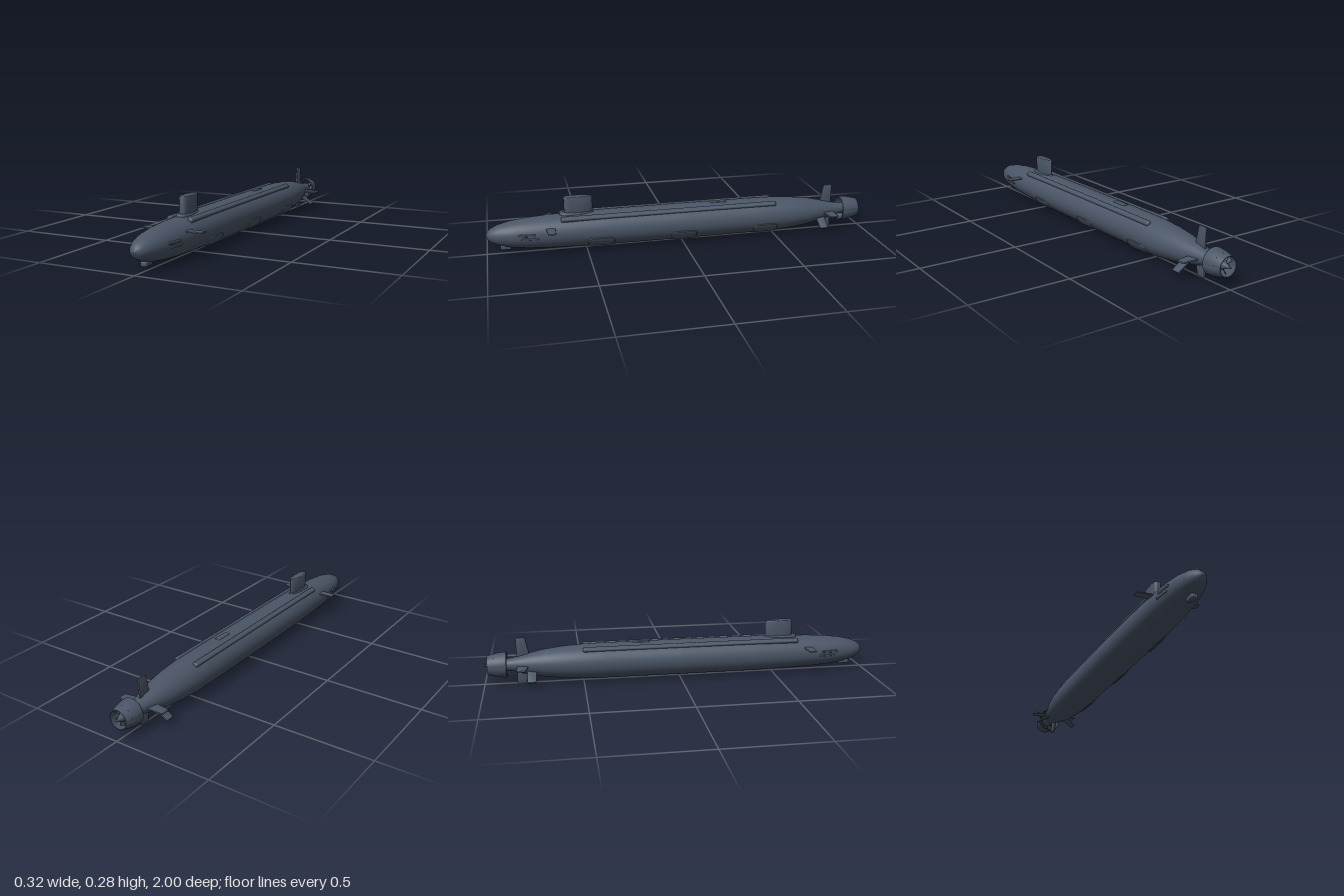
import * as THREE from 'three';
import { toCreasedNormals } from 'three/addons/utils/BufferGeometryUtils.js';
import { RoundedBoxGeometry } from 'three/addons/geometries/RoundedBoxGeometry.js';

const AXIS = 0.1; // height of the hull's centre line
const SQUASH = 0.93; // hull height relative to width

// Hull radius along the length, tail to nose: [z, r]
const HULL = [
  [-0.94, 0.026], [-0.9, 0.029], [-0.85, 0.038], [-0.8, 0.052], [-0.7, 0.075], [-0.6, 0.088],
  [-0.5, 0.095], [-0.4, 0.097], [0, 0.098], [0.4, 0.097], [0.55, 0.094], [0.7, 0.089], [0.8, 0.082],
  [0.88, 0.071], [0.94, 0.055], [0.975, 0.038], [0.992, 0.021], [1, 0],
];

function hullRadius(z) {
  for (let i = 1; i < HULL.length; i++) {
    const [z0, r0] = HULL[i - 1], [z1, r1] = HULL[i];
    if (z <= z1) return r0 + ((r1 - r0) * (z - z0)) / (z1 - z0);
  }
  return 0;
}

// Lathe about the z axis from [z, r] pairs
function latheZ(pairs, segments = 48) {
  const pts = pairs.map(([z, r]) => new THREE.Vector2(r, z));
  return new THREE.LatheGeometry(pts, segments).rotateX(Math.PI / 2);
}

// Tapered fin reaching out along +x, outline given as [span, z] pairs, turned about z
function finGeometry(outline, thickness, angle) {
  const shape = new THREE.Shape(outline.map(([s, z]) => new THREE.Vector2(s, z)));
  const b = thickness * 0.35;
  const geo = new THREE.ExtrudeGeometry(shape, {
    depth: thickness - 2 * b, bevelThickness: b, bevelSize: 0.004, bevelOffset: -0.004, bevelSegments: 2,
  });
  geo.translate(0, 0, b - thickness / 2);
  return toCreasedNormals(geo.rotateX(Math.PI / 2), 0.7).rotateZ(angle);
}

// Raised rounded panel that follows the hull's curve
function panelGeometry(zMid, halfLength, angle, halfAngle, height) {
  const geo = new THREE.PlaneGeometry(2, 2, 20, 20);
  const p = geo.attributes.position;
  for (let i = 0; i < p.count; i++) {
    let u = p.getX(i), v = p.getY(i);
    const m = Math.max(Math.abs(u), Math.abs(v));
    if (m > 0) {
      const k = m / Math.pow(Math.abs(u) ** 5 + Math.abs(v) ** 5, 0.2);
      u *= k;
      v *= k;
    }
    const z = zMid - u * halfLength;
    const a = angle + v * halfAngle;
    const r = hullRadius(z) + (m > 0.97 ? -0.004 : m > 0.87 ? height * 0.9 : height);
    p.setXYZ(i, Math.cos(a) * r, AXIS + Math.sin(a) * r * SQUASH, z);
  }
  geo.computeVertexNormals();
  return toCreasedNormals(geo, 0.6);
}

// Teardrop plan of the sail, rounded in front, extruded upward
function sailGeometry(front, back, halfWidth, y0, y1, bevel) {
  const s = new THREE.Shape();
  const len = front - back;
  s.moveTo(0, -front);
  s.bezierCurveTo(halfWidth * 1.1, -front, halfWidth, -front + len * 0.2, halfWidth, -front + len * 0.4);
  s.bezierCurveTo(halfWidth, -front + len * 0.7, halfWidth * 0.5, -back, 0, -back);
  s.bezierCurveTo(-halfWidth * 0.5, -back, -halfWidth, -front + len * 0.7, -halfWidth, -front + len * 0.4);
  s.bezierCurveTo(-halfWidth, -front + len * 0.2, -halfWidth * 1.1, -front, 0, -front);
  const geo = new THREE.ExtrudeGeometry(s, {
    depth: y1 - y0 - 2 * bevel, bevelThickness: bevel, bevelSize: bevel, bevelOffset: -bevel,
    bevelSegments: 3, curveSegments: 14,
  });
  geo.translate(0, 0, y0 + bevel).rotateX(-Math.PI / 2);
  return toCreasedNormals(geo, 0.7);
}

export function createModel() {
  const model = new THREE.Group();
  const paint = new THREE.MeshStandardMaterial({ color: 0x4a5566 });
  paint.name = 'slate grey paint';
  const add = (name, geo, x = 0, y = 0, z = 0) => {
    const mesh = new THREE.Mesh(geo, paint);
    mesh.name = name;
    mesh.position.set(x, y, z);
    model.add(mesh);
    return mesh;
  };

  // Hull
  add('hull', latheZ(HULL, 64).scale(1, SQUASH, 1), 0, AXIS);

  // Sail with a flared foot
  add('sail', sailGeometry(0.607, 0.462, 0.022, 0.16, 0.276, 0.004));
  add('sailFoot', sailGeometry(0.63, 0.455, 0.027, 0.165, 0.195, 0.009));

  // Rear deck hatch
  add('deckHatch', new RoundedBoxGeometry(0.03, 0.012, 0.09, 3, 0.005), 0, 0.188, -0.2);

  for (const side of [1, -1]) {
    const label = side > 0 ? 'left' : 'right';
    const turn = (a) => (side > 0 ? a : Math.PI - a);

    // Long casing along the upper hull
    const casing = add(label + 'Casing', new RoundedBoxGeometry(0.028, 0.026, 1.13, 4, 0.009), side * 0.054, 0.172, 0.063);
    casing.rotation.z = -side * 0.55;

    // Bow plane
    add(label + 'BowPlane',
      finGeometry([[0.06, 0.658], [0.158, 0.66], [0.158, 0.7], [0.06, 0.706]], 0.007, turn(0)), 0, 0.137);

    // Stern plane
    add(label + 'SternPlane',
      finGeometry([[0.02, -0.835], [0.122, -0.835], [0.128, -0.825], [0.128, -0.79], [0.02, -0.772]], 0.009, turn(0)), 0, 0.097);

    // Small drooping stabiliser
    add(label + 'Stabiliser',
      finGeometry([[0.03, -0.785], [0.13, -0.785], [0.13, -0.74], [0.03, -0.735]], 0.009, turn(-0.56)), 0, AXIS);

    // Torpedo doors, two staggered rows
    for (const [y, z] of [[0.112, 0.8], [0.092, 0.785]]) {
      const door = add(label + 'TorpedoDoor', new RoundedBoxGeometry(0.012, 0.011, 0.085, 2, 0.004), side * 0.08, y, z);
      door.rotation.y = -side * 0.09;
    }
  }

  // Rudders
  add('upperRudder',
    finGeometry([[0.02, -0.835], [0.14, -0.838], [0.14, -0.79], [0.02, -0.765]], 0.01, Math.PI / 2), 0, AXIS);
  add('lowerRudder',
    finGeometry([[0.02, -0.835], [0.1, -0.838], [0.1, -0.79], [0.02, -0.775]], 0.01, -Math.PI / 2), 0, AXIS);

  // Sonar panels on the left flank only
  for (const z of [0.43, 0, -0.44]) {
    add('flankPanel', panelGeometry(z, 0.07, -0.64, 0.38, 0.006));
  }

  // Chin sonar
  add('chinSonar', new RoundedBoxGeometry(0.032, 0.024, 0.055, 3, 0.007), 0, 0.033, 0.905);

  // Propulsor shroud, open at both ends
  const shroud = latheZ([
    [-0.982, 0.049], [-0.95, 0.057], [-0.92, 0.063], [-0.888, 0.065], [-0.884, 0.062],
    [-0.888, 0.058], [-0.93, 0.054], [-0.982, 0.045], [-0.982, 0.049],
  ]);
  add('shroud', toCreasedNormals(shroud, 0.6), 0, AXIS);

  // Tail hub and blades
  const hub = latheZ([[-1, 0], [-0.998, 0.004], [-0.982, 0.005], [-0.94, 0.026], [-0.9, 0.028]], 24);
  add('tailHub', toCreasedNormals(hub, 0.6), 0, AXIS);
  for (let i = 0; i < 9; i++) {
    const blade = new THREE.BoxGeometry(0.045, 0.003, 0.036);
    blade.rotateX(0.5).translate(0.0345, 0, -0.935).rotateZ((i / 9) * Math.PI * 2);
    add('propulsorBlade', blade, 0, AXIS);
  }

  return model;
}
